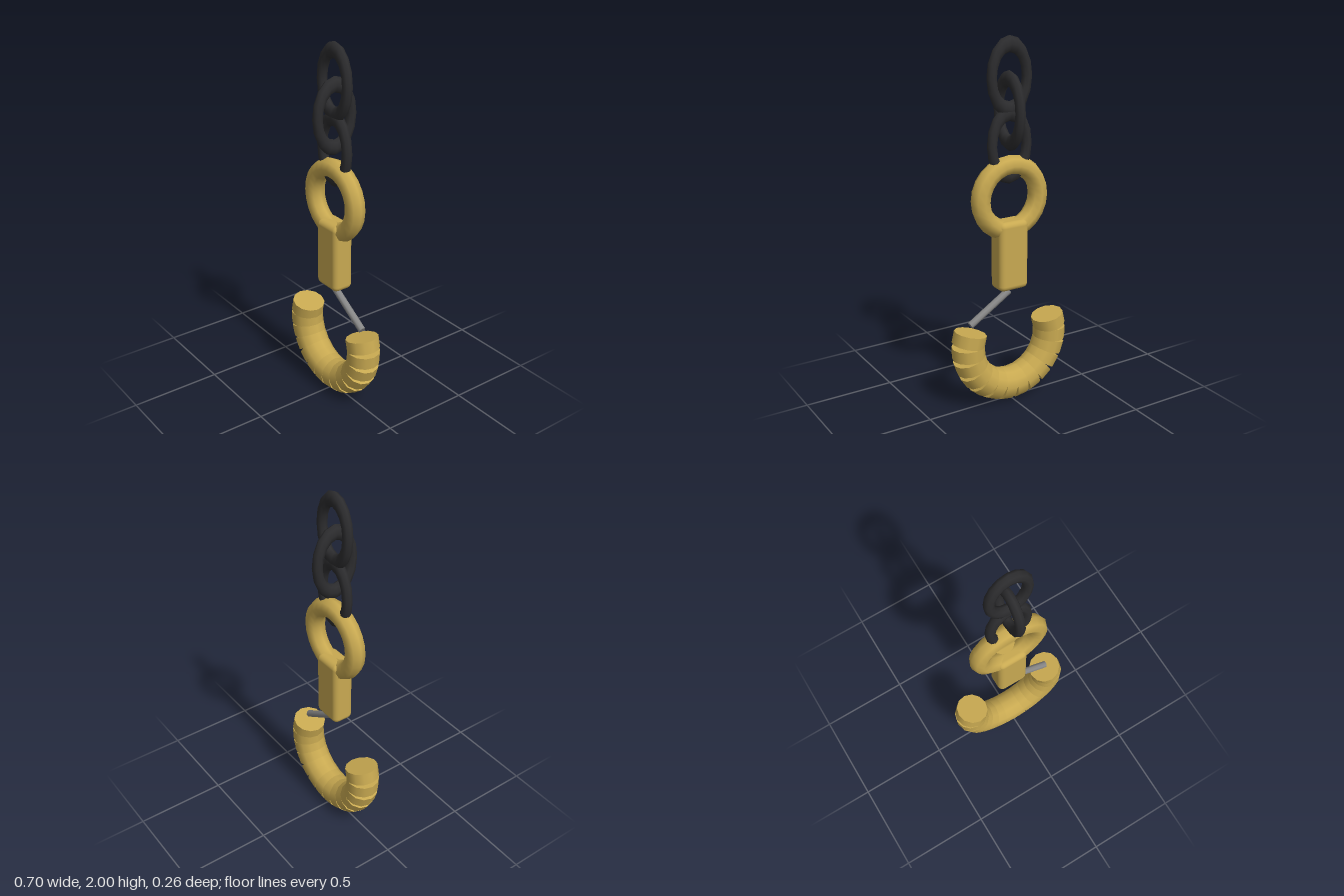
import * as THREE from 'three';
import { RoundedBoxGeometry } from 'three/addons/geometries/RoundedBoxGeometry.js';

const material = (name, color) => {
  const m = new THREE.MeshStandardMaterial({ color });
  m.name = name;
  return m;
};

export function createModel() {
  const brass = material('brass', 0xc8a951);
  const darkIron = material('darkIron', 0x2c2c2e);
  const steel = material('steel', 0x888888);

  const group = new THREE.Group();
  group.name = 'chainHook';
  const add = (name, geometry, mat, x, y, parent = group) => {
    const mesh = new THREE.Mesh(geometry, mat);
    mesh.name = name;
    mesh.position.set(x, y, 0);
    parent.add(mesh);
    return mesh;
  };

  // Chain: three oval links, the middle one turned a quarter
  const chain = new THREE.Group();
  chain.name = 'chain';
  group.add(chain);
  const linkGeometry = new THREE.TorusGeometry(0.105, 0.027, 8, 16).scale(1, 1.58, 1);
  [1.791, 1.617, 1.443].forEach((y, i) => {
    const link = add('chainLink' + (i + 1), linkGeometry, darkIron, 0, y, chain);
    if (i === 1) link.rotation.y = Math.PI / 2;
  });

  // Ring and swivel block
  add('ring', new THREE.TorusGeometry(0.175, 0.053, 8, 24), brass, 0, 1.16);
  add('swivelBlock', new RoundedBoxGeometry(0.176, 0.385, 0.12, 3, 0.03), brass, 0, 0.847);

  // Slanted latch bar
  const latch = add('latchBar', new THREE.CylinderGeometry(0.02, 0.02, 0.284, 8), steel, 0.125, 0.5625);
  latch.rotation.z = THREE.MathUtils.degToRad(58);

  // Hook: short cylinders fanned along an arc, axes tangent to it
  const hook = new THREE.Group();
  hook.name = 'hook';
  hook.position.y = 0.352;
  group.add(hook);
  const segment = new THREE.CylinderGeometry(0.09, 0.09, 0.068, 12);
  const count = 14, step = THREE.MathUtils.degToRad(15.87), radius = 0.26;
  for (let i = 0; i < count; i++) {
    const a = -Math.PI / 2 + (i - (count - 1) / 2) * step;
    const part = add('hookSegment' + (i + 1), segment, brass, radius * Math.cos(a), radius * Math.sin(a), hook);
    part.rotation.z = a;
  }

  return group;
}
